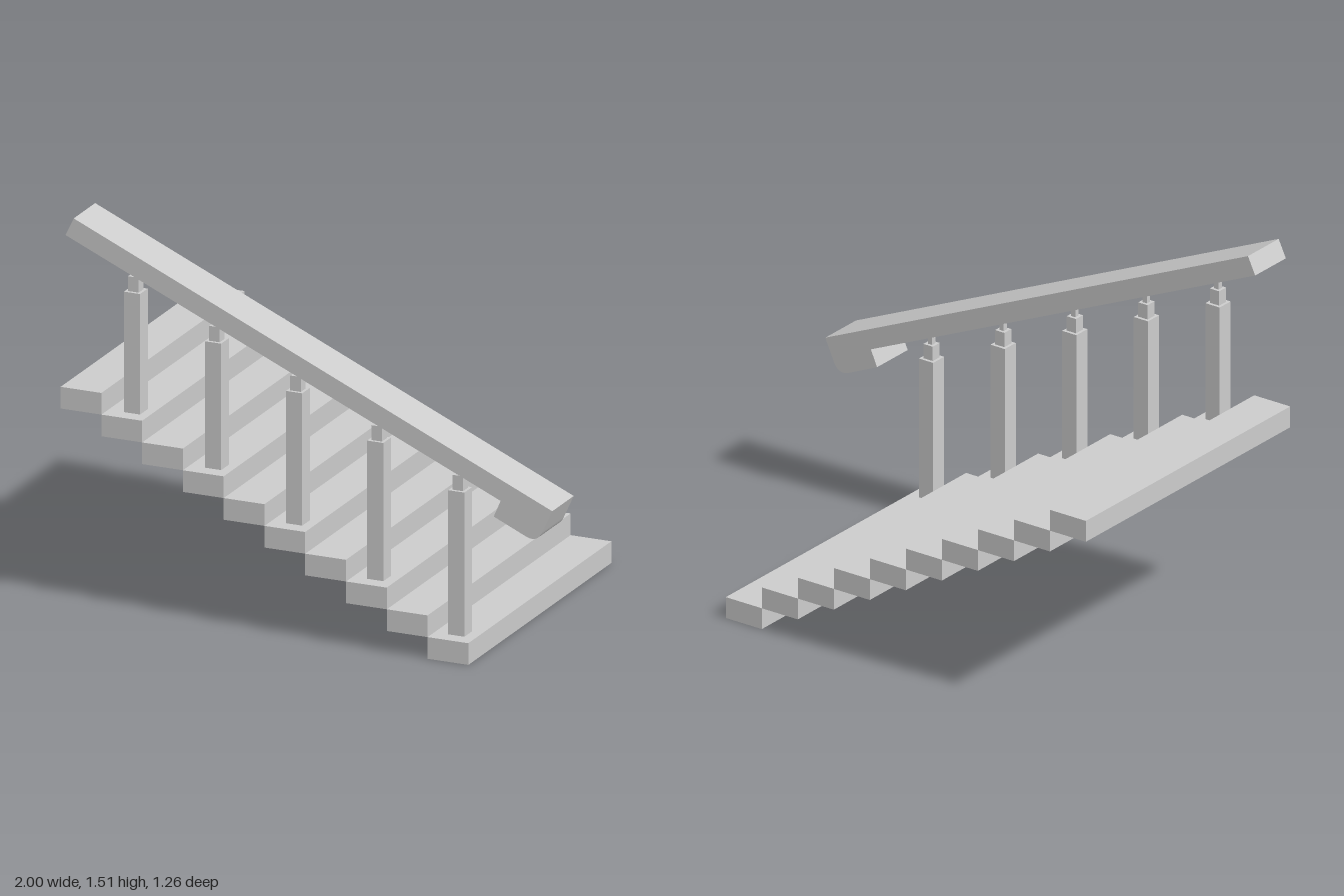
import * as THREE from 'three';

const material = new THREE.MeshStandardMaterial({ color: 0xcccccc, flatShading: true });

// Box given by its centre in x and z and its bottom in y
function block(name, w, h, d, x, bottom, z) {
  const mesh = new THREE.Mesh(new THREE.BoxGeometry(w, h, d), material);
  mesh.name = name;
  mesh.position.set(x, bottom + h / 2, z);
  return mesh;
}

export function createModel() {
  const model = new THREE.Group();
  model.name = 'staircase';

  // Ten treads climbing towards -x
  const steps = new THREE.Group();
  steps.name = 'steps';
  const run = 0.1657, rise = 0.0847;
  for (let i = 0; i < 10; i++) {
    steps.add(block('step', run, rise, 1.265, 0.574 - i * run, i * rise, 0));
  }
  model.add(steps);

  // Balusters on every second tread: shaft, collar and thin pin into the rail
  for (let i = 0; i < 5; i++) {
    const x = 0.58 - i * 0.3295, top = 0.648 + i * 0.1463, z = 0.538;
    const baluster = new THREE.Group();
    baluster.name = 'baluster';
    baluster.add(
      block('shaft', 0.066, 0.578, 0.068, x, top - 0.578, z),
      block('collar', 0.043, 0.058, 0.043, x, top, z),
      block('pin', 0.02, 0.06, 0.02, x, top + 0.058, z)
    );
    model.add(baluster);
  }

  // Sloping handrail with a hooked, rounded lower end
  const profile = new THREE.Shape();
  profile.moveTo(-0.98, 1.443);
  profile.lineTo(0.788, 0.66);
  profile.lineTo(0.76, 0.595);
  profile.lineTo(0.893, 0.535);
  profile.bezierCurveTo(0.918, 0.525, 0.943, 0.53, 0.957, 0.56);
  profile.lineTo(0.998, 0.65);
  profile.lineTo(-0.947, 1.513);
  profile.closePath();
  const railGeometry = new THREE.ExtrudeGeometry(profile, {
    depth: 0.19, bevelEnabled: false, curveSegments: 10
  });
  const rail = new THREE.Mesh(railGeometry, material);
  rail.name = 'handrail';
  rail.position.z = 0.4425;
  model.add(rail);

  return model;
}
